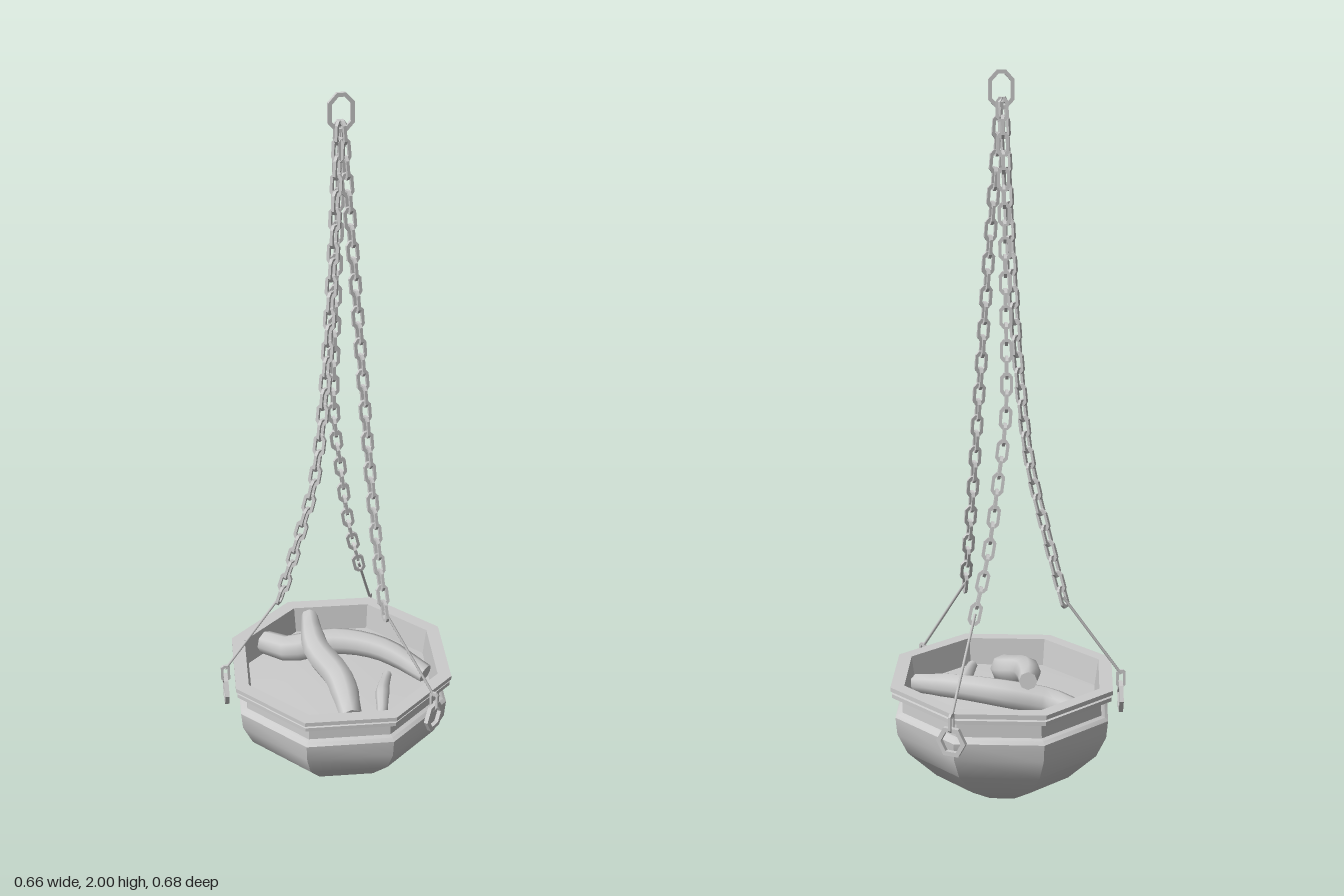
import * as THREE from 'three';
import { mergeGeometries, toCreasedNormals } from 'three/addons/utils/BufferGeometryUtils.js';

const material = new THREE.MeshStandardMaterial({ color: 0xcccccc });
const CENTRE_Z = 0.013; // axis of the bowl
const v = (p) => new THREE.Vector3(...p);

function add(parent, name, geometry) {
  const mesh = new THREE.Mesh(geometry, material);
  mesh.name = name;
  parent.add(mesh);
  return mesh;
}

// Flat closed link: a rectangle with chamfered corners and a matching hole
function linkGeometry(w, h, bar, cx, cy) {
  const outline = (x, y, a, b) => [
    [x - a, -y], [x, b - y], [x, y - b], [x - a, y],
    [a - x, y], [-x, y - b], [-x, b - y], [a - x, -y],
  ].map(([px, py]) => new THREE.Vector2(px, py));
  const shape = new THREE.Shape(outline(w / 2, h / 2, cx, cy));
  shape.holes.push(new THREE.Path(outline(w / 2 - bar, h / 2 - bar, cx * 0.75, cy * 0.75)));
  const geometry = new THREE.ExtrudeGeometry(shape, { depth: bar, bevelEnabled: false });
  return geometry.translate(0, 0, -bar / 2);
}

// Eight-sided turned part
function turned(profile) {
  const lathe = new THREE.LatheGeometry(profile.map(([r, y]) => new THREE.Vector2(r, y)), 8);
  return toCreasedNormals(lathe, 0.6);
}

// Chain of links along a curve, every second one turned a quarter
function chainGeometry(curve, twist) {
  const link = linkGeometry(0.034, 0.062, 0.008, 0.009, 0.011);
  const count = Math.round(curve.getLength() / 0.045);
  const up = new THREE.Vector3(0, 1, 0);
  const links = [];
  for (let i = 0; i <= count; i++) {
    const t = i / count;
    const turn = new THREE.Quaternion().setFromUnitVectors(up, curve.getTangentAt(t));
    turn.multiply(new THREE.Quaternion().setFromAxisAngle(up, twist + (i % 2) * Math.PI / 2));
    const matrix = new THREE.Matrix4().compose(curve.getPointAt(t), turn, new THREE.Vector3(1, 1, 1));
    links.push(link.clone().applyMatrix4(matrix));
  }
  return mergeGeometries(links);
}

// Straight thin rod between two points
function rodGeometry(a, b, radius) {
  const rod = new THREE.CylinderGeometry(radius, radius, a.distanceTo(b), 6);
  const dir = b.clone().sub(a).normalize();
  rod.applyQuaternion(new THREE.Quaternion().setFromUnitVectors(new THREE.Vector3(0, 1, 0), dir));
  const mid = a.clone().lerp(b, 0.5);
  return rod.translate(mid.x, mid.y, mid.z);
}

// Bent branch: a tube whose rings follow a list of radii, closed at both ends
function branchGeometry(points, radii) {
  const sides = 8, steps = 14;
  const curve = new THREE.CatmullRomCurve3(points.map(v));
  const tube = new THREE.TubeGeometry(curve, steps, 1, sides);
  const pos = tube.attributes.position;
  const p = new THREE.Vector3();
  for (let i = 0; i <= steps; i++) {
    const from = curve.getPointAt(i / steps);
    const end = i === 0 || i === steps;
    const to = i === 1 ? curve.getPointAt(0) : i === steps - 1 ? curve.getPointAt(1) : from;
    const t = i / steps * (radii.length - 1);
    const k = Math.min(Math.floor(t), radii.length - 2);
    const radius = end ? 0 : THREE.MathUtils.lerp(radii[k], radii[k + 1], t - k);
    for (let j = 0; j <= sides; j++) {
      const n = i * (sides + 1) + j;
      p.fromBufferAttribute(pos, n).sub(from).multiplyScalar(radius).add(to);
      pos.setXYZ(n, p.x, p.y, p.z);
    }
  }
  return toCreasedNormals(tube, 0.9);
}

export function createModel() {
  const model = new THREE.Group();
  model.name = 'hangingBowl';

  // Bowl with shoulder, neck and stepped rim
  add(model, 'bowl', turned([
    [0, 0], [0.088, 0], [0.2, 0.065], [0.283, 0.145], [0.312, 0.205], [0.317, 0.255],
    [0.308, 0.264], [0.297, 0.268], [0.295, 0.312], [0.326, 0.315], [0.326, 0.326],
    [0.318, 0.328], [0.318, 0.332], [0.33, 0.334], [0.33, 0.346], [0.29, 0.346], [0.278, 0.26],
  ])).position.z = CENTRE_Z;

  // Slightly domed filling
  add(model, 'filling', turned([[0.282, 0.268], [0.17, 0.276], [0, 0.279]])).position.z = CENTRE_Z;

  // Branches lying in the bowl
  add(model, 'backBranch', branchGeometry(
    [[-0.255, 0.3, -0.062], [-0.18, 0.305, -0.042], [-0.04, 0.328, -0.088], [0.1, 0.325, -0.09], [0.24, 0.295, -0.048]],
    [0.031, 0.041, 0.04, 0.037, 0.034, 0.024]));
  add(model, 'topBranch', branchGeometry(
    [[-0.13, 0.385, -0.108], [-0.105, 0.378, -0.05], [-0.065, 0.36, 0.02], [0.02, 0.325, 0.085], [0.09, 0.285, 0.2]],
    [0.02, 0.034, 0.041, 0.042, 0.04, 0.026]));
  add(model, 'smallBranch', branchGeometry(
    [[0.131, 0.285, -0.028], [0.142, 0.289, 0.06], [0.17, 0.285, 0.165]],
    [0.012, 0.02, 0.014]));

  // Oblong ring that everything hangs from
  const ring = add(model, 'topRing', linkGeometry(0.068, 0.1, 0.01, 0.022, 0.024));
  ring.position.y = 1.95;
  ring.rotation.y = 0.55;

  // Three chains, each ending in a rod and a ring on the bowl
  const hangers = [
    { name: 'back', hook: [-0.006, -0.326], path: [[0.008, 0.57, -0.15], [-0.01, 0.72, -0.11], [-0.026, 0.92, -0.078], [-0.036, 1.1, -0.05], [-0.022, 1.45, -0.022], [-0.004, 1.9, -0.004]] },
    { name: 'right', hook: [-0.298, 0.156], path: [[-0.152, 0.57, 0.08], [-0.105, 0.74, 0.075], [-0.055, 0.95, 0.066], [-0.032, 1.2, 0.046], [-0.018, 1.5, 0.024], [-0.004, 1.9, 0.004]] },
    { name: 'left', hook: [0.305, 0.112], path: [[0.148, 0.57, 0.075], [0.122, 0.7, 0.045], [0.092, 0.9, 0.016], [0.062, 1.2, 0], [0.034, 1.55, 0], [0.005, 1.9, 0.002]] },
  ];
  hangers.forEach(({ name, hook: [x, z], path }, i) => {
    const hanger = new THREE.Group();
    hanger.name = name + 'Hanger';
    model.add(hanger);
    const facing = Math.atan2(x, z - CENTRE_Z);
    add(hanger, 'chain', chainGeometry(new THREE.CatmullRomCurve3(path.map(v)), 0.5 + i * 0.9));
    add(hanger, 'rod', rodGeometry(v(path[0]), new THREE.Vector3(x, 0.34, z), 0.004));

    // Six-sided ring and the clasp joining it to the rod
    const hoop = add(hanger, 'bowlRing', linkGeometry(0.085, 0.078, 0.012, 0.021, 0.039));
    hoop.position.set(x, 0.272, z);
    hoop.rotation.y = facing;
    const clasp = add(hanger, 'clasp', linkGeometry(0.026, 0.052, 0.007, 0.007, 0.007));
    clasp.position.set(x, 0.326, z);
    clasp.rotation.y = facing + Math.PI / 2;
  });

  return model;
}
